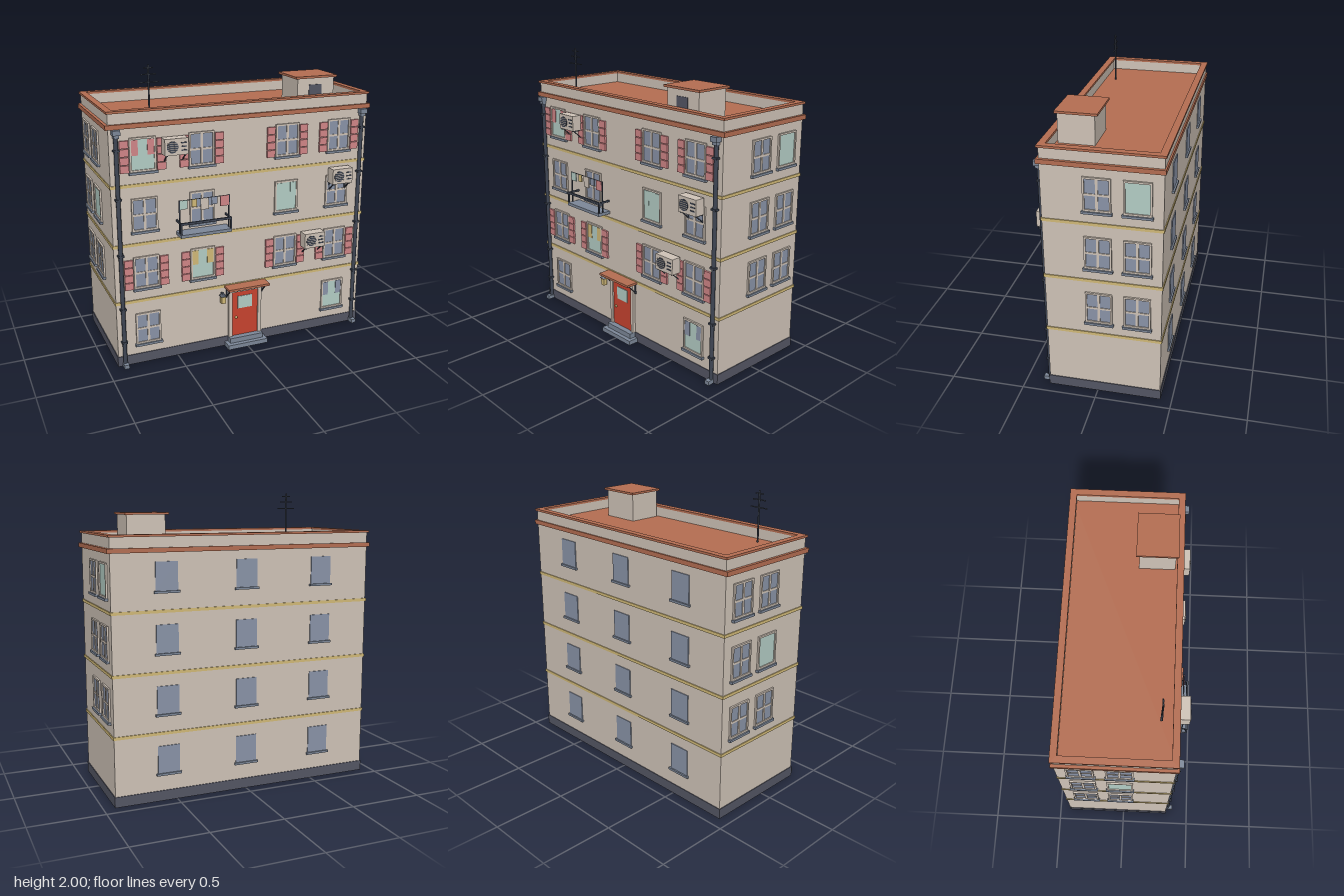
import * as THREE from 'three';

const mat = (name, color) => Object.assign(new THREE.MeshStandardMaterial({ color }), { name });
const M = {
  wall: mat('wall plaster', 0xd0c4b8),
  tile: mat('terracotta', 0xb56e52),
  glass: mat('window glass', 0x8a94a8),
  dark: mat('dark slate', 0x545664),
  metal: mat('dark metal', 0x3f4654),
  stone: mat('grey stone', 0x7d8899),
  yellow: mat('ochre', 0xd2ba78),
  pink: mat('pink paint', 0xd28688),
  mint: mat('pale mint', 0xb4cec6),
  red: mat('red paint', 0xc8432f),
};
const FRONT = 0.33, BACK = -0.42, SIDE = 0.92;

function add(parent, name, geo, material, x = 0, y = 0, z = 0) {
  const m = new THREE.Mesh(geo, material);
  m.name = name;
  m.position.set(x, y, z);
  parent.add(m);
  return m;
}
// Box given by its limits on each axis
function box(parent, name, material, x0, x1, y0, y1, z0, z1) {
  return add(parent, name, new THREE.BoxGeometry(x1 - x0, y1 - y0, z1 - z0), material,
    (x0 + x1) / 2, (y0 + y1) / 2, (z0 + z1) / 2);
}
function group(parent, name, x = 0, y = 0, z = 0) {
  const g = new THREE.Group();
  g.name = name;
  g.position.set(x, y, z);
  parent.add(g);
  return g;
}
function rectPoints(C, x0, x1, y0, y1) {
  return new C([[x0, y0], [x1, y0], [x1, y1], [x0, y1]].map(p => new THREE.Vector2(...p)));
}
// Rectangular ring with a border, extruded along +z
function ring(x0, x1, y0, y1, border, depth) {
  const s = rectPoints(THREE.Shape, x0, x1, y0, y1);
  s.holes.push(rectPoints(THREE.Path, x0 + border, x1 - border, y0 + border, y1 - border));
  return new THREE.ExtrudeGeometry(s, { depth, bevelEnabled: false });
}

// Window facing +z, origin at the bottom centre of its sill
function windowUnit(parent, x, y, z, { lit = false, curtain = null, shutters = false, turn = 0 } = {}) {
  const g = group(parent, 'window', x, y, z);
  g.rotation.y = turn;
  box(g, 'sill', M.stone, -0.095, 0.095, 0, 0.016, 0, 0.022);
  add(g, 'windowFrame', ring(-0.087, 0.087, 0.016, 0.238, 0.012, 0.012), M.wall);
  box(g, 'pane', lit ? M.mint : M.glass, -0.077, 0.077, 0.026, 0.228, 0, 0.004);
  if (!lit) {
    box(g, 'mullion', M.wall, -0.008, 0.008, 0.026, 0.228, 0.001, 0.009);
    box(g, 'crossbar', M.wall, -0.077, 0.077, 0.118, 0.132, 0.001, 0.008);
  }
  for (const s of [-1, 1]) {
    if (curtain) add(g, 'curtain', new THREE.BoxGeometry(0.044, 0.1, 0.004), curtain, s * 0.053, 0.172, 0.006);
    if (!shutters) continue;
    for (let i = 0; i < 4; i++)
      add(g, 'shutterPanel', new THREE.BoxGeometry(0.058, 0.048, 0.014), M.pink, s * 0.122, 0.04 + i * 0.053, 0.007);
  }
}

// Air conditioner on brackets, origin at its bottom centre on the wall
function airConditioner(parent, x, y) {
  const g = group(parent, 'airConditioner', x, y, FRONT);
  box(g, 'casing', M.wall, -0.078, 0.078, 0, 0.107, 0.012, 0.082);
  const cx = -0.028, cy = 0.053;
  add(g, 'fan', new THREE.CylinderGeometry(0.038, 0.038, 0.005, 20).rotateX(Math.PI / 2), M.metal, cx, cy, 0.083);
  for (let i = -2; i <= 2; i++)
    box(g, 'fanGuard', M.wall, cx - 0.034, cx + 0.034, cy + i * 0.013 - 0.0015, cy + i * 0.013 + 0.0015, 0.084, 0.088);
  for (let i = 0; i < 3; i++)
    box(g, 'vent', M.metal, 0.03, 0.068, 0.026 + i * 0.024, 0.034 + i * 0.024, 0.08, 0.085);
  for (const s of [-1, 1]) {
    box(g, 'bracketArm', M.metal, s * 0.062 - 0.004, s * 0.062 + 0.004, -0.008, 0, 0, 0.075);
    box(g, 'bracketLeg', M.metal, s * 0.062 - 0.004, s * 0.062 + 0.004, -0.07, 0, 0, 0.008);
    const strut = add(g, 'bracketStrut', new THREE.BoxGeometry(0.006, 0.006, 0.08), M.metal, s * 0.062, -0.032, 0.032);
    strut.rotation.x = -0.72;
  }
}

function buildShell(root) {
  box(root, 'walls', M.wall, -SIDE, SIDE, 0.07, 1.64, BACK, FRONT);
  box(root, 'plinth', M.dark, -0.925, 0.925, 0, 0.07, -0.425, 0.335);
  for (const y of [0.46, 0.86, 1.26])
    box(root, 'floorBand', M.yellow, -0.926, 0.926, y - 0.01, y + 0.01, -0.426, 0.336);
  box(root, 'corniceAndRoof', M.tile, -0.94, 0.94, 1.632, 1.662, -0.43, 0.345);
  const flat = g => g.rotateX(-Math.PI / 2);
  add(root, 'parapet', flat(ring(-SIDE, SIDE, -FRONT, -BACK, 0.03, 0.07)), M.wall, 0, 1.662);
  add(root, 'coping', flat(ring(-0.93, 0.93, -0.34, 0.43, 0.045, 0.015)), M.tile, 0, 1.73);
}

function buildRoofItems(root) {
  const hut = group(root, 'roofHut');
  box(hut, 'hutWalls', M.wall, 0.4, 0.675, 1.66, 1.857, 0.05, 0.285);
  box(hut, 'hutRoof', M.tile, 0.38, 0.69, 1.856, 1.871, 0.03, 0.3);
  box(hut, 'hutDoor', M.dark, 0.485, 0.58, 1.662, 1.812, 0.284, 0.29);
  const a = group(root, 'antenna', -0.62, 0, 0.225);
  add(a, 'mast', new THREE.CylinderGeometry(0.006, 0.006, 0.34, 8), M.metal, 0, 1.83);
  for (const [y, w] of [[1.89, 0.135], [1.94, 0.1], [1.98, 0.065]])
    add(a, 'antennaBar', new THREE.BoxGeometry(w, 0.007, 0.007), M.metal, 0, y);
}

function buildDownpipe(root, x) {
  const g = group(root, 'downpipe', x, 0, FRONT + 0.013);
  add(g, 'pipe', new THREE.CylinderGeometry(0.014, 0.014, 1.58, 10), M.metal, 0, 0.81);
  box(g, 'hopper', M.stone, -0.025, 0.025, 1.6, 1.632, -0.013, 0.03);
  box(g, 'hopperNeck', M.stone, -0.017, 0.017, 1.58, 1.6, -0.013, 0.02);
  box(g, 'shoe', M.stone, -0.017, 0.017, 0, 0.028, -0.013, 0.042);
  for (const y of [0.18, 0.42, 0.8, 1.18, 1.5])
    box(g, 'pipeClip', M.metal, -0.02, 0.02, y - 0.006, y + 0.006, -0.013, 0.017);
}

function buildEntrance(root) {
  const g = group(root, 'entrance');
  box(g, 'lowerStep', M.stone, -0.15, 0.15, 0, 0.032, FRONT, 0.41);
  box(g, 'upperStep', M.stone, -0.125, 0.125, 0.032, 0.068, FRONT, 0.38);
  for (const s of [-1, 1]) {
    box(g, 'doorJamb', M.wall, s * 0.111 - 0.013, s * 0.111 + 0.013, 0.068, 0.435, FRONT, 0.35);
    box(g, 'canopyBracketLeg', M.metal, s * 0.134 - 0.004, s * 0.134 + 0.004, 0.37, 0.45, FRONT, 0.338);
    const strut = add(g, 'canopyBracketStrut', new THREE.BoxGeometry(0.006, 0.006, 0.1), M.metal, s * 0.134, 0.412, 0.366);
    strut.rotation.x = -0.8;
  }
  box(g, 'doorLintel', M.wall, -0.124, 0.124, 0.405, 0.435, FRONT, 0.351);
  box(g, 'door', M.red, -0.098, 0.098, 0.068, 0.405, FRONT, 0.34);
  box(g, 'doorPane', M.mint, -0.054, 0.054, 0.275, 0.368, 0.338, 0.344);
  add(g, 'doorKnob', new THREE.SphereGeometry(0.009, 10, 8), M.yellow, -0.067, 0.21, 0.346);
  box(g, 'canopy', M.tile, -0.153, 0.153, 0.449, 0.465, FRONT, 0.425);
  // Wall lantern
  const l = group(root, 'lantern', -0.175, 0, 0.365);
  box(l, 'lanternArm', M.metal, -0.004, 0.004, 0.408, 0.416, -0.035, 0);
  add(l, 'lanternCap', new THREE.ConeGeometry(0.03, 0.032, 4).rotateY(Math.PI / 4), M.metal, 0, 0.418);
  box(l, 'lanternGlass', M.yellow, -0.015, 0.015, 0.35, 0.403, -0.015, 0.015);
}

function buildBalcony(root) {
  const g = group(root, 'balcony', -0.315, 0, 0);
  box(g, 'balconySlab', M.stone, -0.178, 0.178, 0.895, 0.916, FRONT, 0.43);
  box(g, 'frontRail', M.metal, -0.178, 0.178, 0.983, 0.998, 0.417, 0.43);
  for (const s of [-1, 1]) {
    const x = s * 0.173;
    box(g, 'railPost', M.metal, x - 0.005, x + 0.005, 0.916, 0.99, 0.418, 0.428);
    box(g, 'sideRail', M.metal, x - 0.005, x + 0.005, 0.984, 0.996, FRONT, 0.42);
    box(g, 'linePost', M.metal, x - 0.004, x + 0.004, 0.916, 1.143, 0.386, 0.394);
  }
  box(g, 'clothesLine', M.metal, -0.175, 0.175, 1.138, 1.142, 0.388, 0.392);
  for (const [x, w, h, m] of [[-0.145, 0.05, 0.06, M.mint], [-0.072, 0.034, 0.052, M.yellow],
    [0, 0.056, 0.078, M.wall], [0.07, 0.042, 0.05, M.glass], [0.14, 0.06, 0.07, M.pink]])
    box(g, 'laundry', m, x - w / 2, x + w / 2, 1.141 - h, 1.141, 0.387, 0.395);
}

function buildWindows(root) {
  const cols = [-0.705, -0.31, 0.307, 0.703];
  const rows = [0.13, 0.535, 0.935, 1.333];
  const lit = { '0,3': M.glass, '1,1': M.yellow, '2,2': M.mint, '3,0': M.pink };
  rows.forEach((y, r) => cols.forEach((x, c) => {
    if (r === 0 && (c === 1 || c === 2)) return;
    const curtain = lit[`${r},${c}`];
    windowUnit(root, x, y, FRONT, { lit: !!curtain, curtain, shutters: r === 1 || r === 3 });
  }));
  // Side walls
  for (const s of [-1, 1]) for (let r = 1; r < 4; r++) for (const z of [-0.018, -0.265]) {
    const isLit = s > 0 ? r === 3 && z < -0.1 : r === 2 && z > -0.1;
    windowUnit(root, s * SIDE, rows[r], z, { lit: isLit, turn: s * Math.PI / 2 });
  }
  // Plain rear windows
  for (const x of [-0.555, 0, 0.555]) for (let r = 0; r < 4; r++) {
    const y = 0.175 + r * 0.4;
    box(root, 'rearPane', M.glass, x - 0.075, x + 0.075, y + 0.015, y + 0.2, BACK - 0.006, BACK);
    box(root, 'rearSill', M.stone, x - 0.086, x + 0.086, y, y + 0.015, BACK - 0.016, BACK);
  }
}

export function createModel() {
  const root = new THREE.Group();
  root.name = 'apartmentBuilding';
  buildShell(root);
  buildRoofItems(root);
  buildWindows(root);
  buildEntrance(root);
  buildBalcony(root);
  for (const x of [-0.877, 0.877]) buildDownpipe(root, x);
  for (const [x, y] of [[-0.505, 1.452], [0.707, 1.125], [0.505, 0.677]]) airConditioner(root, x, y);
  return root;
}
